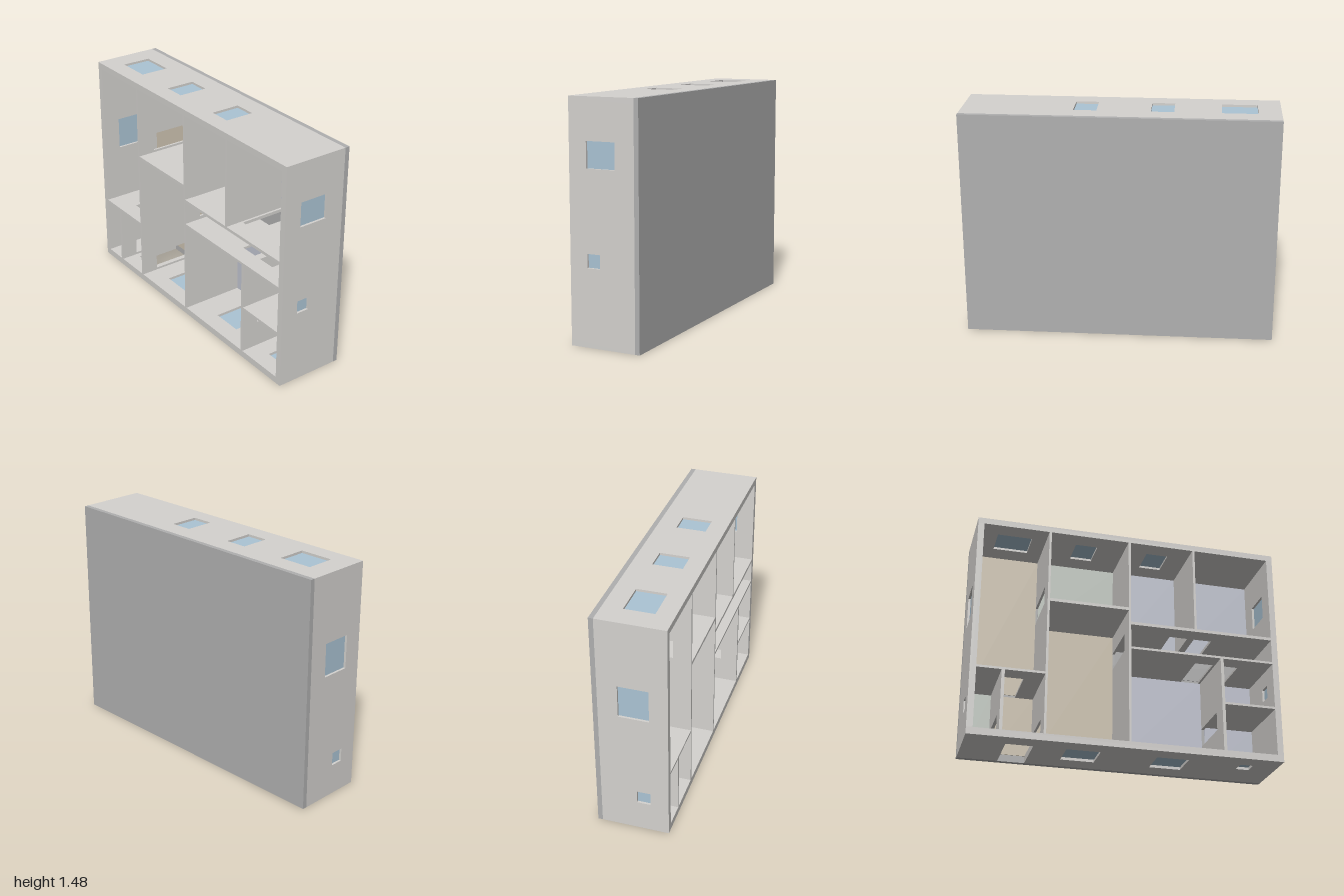
import * as THREE from 'three';

const FLOOR = -0.2, TOP = 0.23, LINTEL = 0.115, SILL = -0.075;

const paint = (color) => new THREE.MeshStandardMaterial({ color });
const wallMat = paint(0xd4d2cf), slabMat = paint(0xb0b0b0), glassMat = paint(0xabc4d4);
const tan = paint(0xcdc3b0), green = paint(0xc2c9c1), blue = paint(0xc2c5d1);

// Rooms: name, material, x range, y range
const ROOMS = [
  ['livingFloor', tan, -0.96, -0.535, 0.45, 1.44],
  ['upperWetRoomFloor', green, -0.52, -0.005, 0.96, 1.44],
  ['middleRoomFloor', tan, -0.52, -0.005, 0.045, 0.94],
  ['bedroomFloor1', blue, 0.01, 0.435, 0.86, 1.44],
  ['bedroomFloor2', blue, 0.45, 0.96, 0.86, 1.44],
  ['hallFloor', slabMat, 0.01, 0.96, 0.685, 0.84],
  ['bedroomFloor3', blue, 0.01, 0.605, 0.045, 0.67],
  ['bedroomFloor4', blue, 0.625, 0.96, 0.37, 0.67],
  ['bedroomFloor5', blue, 0.625, 0.96, 0.045, 0.355],
  ['lowerWetRoomFloor', green, -0.96, -0.805, 0.045, 0.435],
  ['entryFloor', tan, -0.785, -0.535, 0.045, 0.435],
];

// Walls: name, direction, thickness range, length range, doors, windows [from, to, sill]
const WALLS = [
  ['bottomOuterWall', 'x', 0, 0.045, -1, 1, [[-0.745, -0.575]],
    [[-0.37, -0.155], [0.205, 0.41], [0.75, 0.835, 0.03]]],
  ['topOuterWall', 'x', 1.44, 1.48, -1, 1, [],
    [[-0.855, -0.63], [-0.335, -0.19], [0.15, 0.295]]],
  ['rightOuterWall', 'y', -1, -0.96, 0.045, 1.44, [], [[0.2, 0.285, 0.03], [0.83, 1.045]]],
  ['leftOuterWall', 'y', 0.96, 1, 0.045, 1.44, [], [[0.48, 0.565, 0.03], [1.065, 1.225]]],
  ['partitionA', 'y', -0.535, -0.52, 0.045, 1.44, [[0.06, 0.18], [0.975, 1.095]]],
  ['partitionB', 'y', -0.005, 0.01, 0.045, 1.44, [[0.705, 0.82]]],
  ['partitionC', 'y', -0.805, -0.785, 0.045, 0.435, [[0.06, 0.18]]],
  ['partitionD', 'y', 0.605, 0.625, 0.045, 0.67, [[0.22, 0.34]]],
  ['partitionE', 'y', 0.435, 0.45, 0.86, 1.44],
  ['partitionF', 'x', 0.435, 0.45, -0.96, -0.535, [[-0.77, -0.65]]],
  ['partitionG', 'x', 0.94, 0.96, -0.52, -0.005],
  ['partitionH', 'x', 0.84, 0.86, 0.01, 0.96, [[0.3, 0.42], [0.465, 0.585]]],
  ['partitionI', 'x', 0.67, 0.685, 0.01, 0.96, [[0.47, 0.59], [0.64, 0.76]]],
  ['partitionJ', 'x', 0.355, 0.37, 0.625, 0.96],
];

function box(name, mat, x0, x1, y0, y1, z0, z1) {
  const mesh = new THREE.Mesh(new THREE.BoxGeometry(x1 - x0, y1 - y0, z1 - z0), mat);
  mesh.position.set((x0 + x1) / 2, (y0 + y1) / 2, (z0 + z1) / 2);
  mesh.name = name;
  return mesh;
}

// A wall is a profile (length by z) with door notches and window holes, extruded to its thickness
function wall([name, dir, t0, t1, s0, s1, doors = [], windows = []]) {
  const group = new THREE.Group();
  group.name = name;
  const shape = new THREE.Shape();
  shape.moveTo(s0, FLOOR);
  for (const [a, b] of doors) {
    shape.lineTo(a, FLOOR);
    shape.lineTo(a, LINTEL);
    shape.lineTo(b, LINTEL);
    shape.lineTo(b, FLOOR);
  }
  shape.lineTo(s1, FLOOR);
  shape.lineTo(s1, TOP);
  shape.lineTo(s0, TOP);
  shape.closePath();

  const mid = (t0 + t1) / 2;
  for (const [a, b, sill = SILL] of windows) {
    const hole = new THREE.Path();
    hole.moveTo(a, sill);
    hole.lineTo(a, LINTEL);
    hole.lineTo(b, LINTEL);
    hole.lineTo(b, sill);
    hole.closePath();
    shape.holes.push(hole);
    // Glass pane in the middle of the wall
    const p = [mid - 0.005, mid + 0.005];
    group.add(dir === 'x'
      ? box('windowPane', glassMat, a, b, ...p, sill, LINTEL)
      : box('windowPane', glassMat, ...p, a, b, sill, LINTEL));
  }

  const geo = new THREE.ExtrudeGeometry(shape, { depth: t1 - t0, bevelEnabled: false });
  const X = new THREE.Vector3(1, 0, 0), Y = new THREE.Vector3(0, 1, 0), Z = new THREE.Vector3(0, 0, 1);
  const m = new THREE.Matrix4();
  if (dir === 'x') m.makeBasis(X, Z, Y.clone().negate()).setPosition(0, t1, 0);
  else m.makeBasis(Y, Z, X).setPosition(t0, 0, 0);
  geo.applyMatrix4(m);
  const body = new THREE.Mesh(geo, wallMat);
  body.name = 'wallBody';
  group.add(body);
  return group;
}

export function createModel() {
  const model = new THREE.Group();
  model.name = 'floorPlan';
  // Base slab behind all rooms
  model.add(box('baseSlab', slabMat, -1, 1, 0, 1.48, -0.23, FLOOR));
  // Coloured room floors
  for (const [name, mat, x0, x1, y0, y1] of ROOMS) {
    model.add(box(name, mat, x0, x1, y0, y1, FLOOR, FLOOR + 0.004));
  }
  // Walls with doorways and windows
  for (const spec of WALLS) model.add(wall(spec));
  return model;
}
